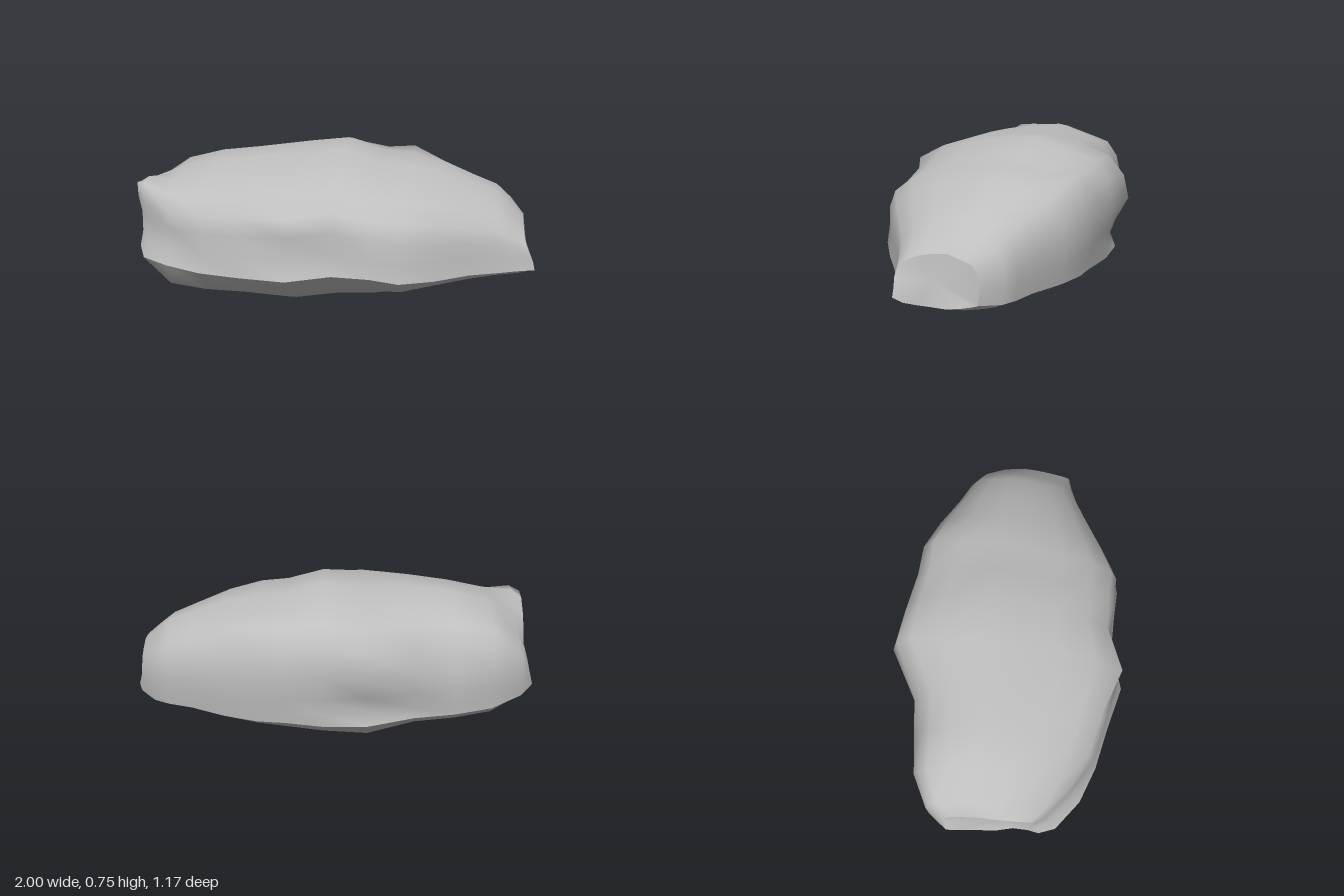
import * as THREE from 'three';

// Stations along the boulder: x, back z, front z, rim y, bottom y, top y
const stations = [
  [-0.98, -0.22, 0.26, 0.25, 0.22, 0.56],
  [-0.93, -0.31, 0.34, 0.23, 0.19, 0.6],
  [-0.78, -0.39, 0.44, 0.24, 0.065, 0.645],
  [-0.6, -0.43, 0.49, 0.23, 0.04, 0.685],
  [-0.4, -0.46, 0.53, 0.23, 0.025, 0.71],
  [-0.17, -0.59, 0.59, 0.24, 0.005, 0.73],
  [0.04, -0.56, 0.52, 0.24, 0.015, 0.755],
  [0.22, -0.53, 0.51, 0.24, 0.035, 0.7],
  [0.36, -0.52, 0.51, 0.23, 0.07, 0.685],
  [0.52, -0.47, 0.42, 0.22, 0.11, 0.655],
  [0.68, -0.39, 0.32, 0.22, 0.13, 0.595],
  [0.8, -0.34, 0.25, 0.21, 0.145, 0.55],
  [0.87, -0.3, 0.22, 0.21, 0.15, 0.49],
  [0.935, -0.21, 0.2, 0.21, 0.18, 0.42],
];

// Cross-section: across (-1 back, 1 front), height (0 rim, 1 top, -1 bottom)
const upper = [[1, 0], [0.97, 0.2], [0.96, 0.42], [0.9, 0.6], [0.7, 0.77], [0.42, 0.89],
  [0.05, 0.97], [-0.25, 1], [-0.58, 0.9], [-0.82, 0.81], [-0.95, 0.62], [-1, 0.38],
  [-0.98, 0.14], [-0.96, -0.05], [-0.95, -0.33]];
const lower = [[-0.95, -0.33], [-0.84, -0.55], [-0.62, -0.8], [-0.3, -1], [0.1, -0.98],
  [0.42, -0.93], [0.74, -0.6], [1, 0]];

// Chips and bulges: centre, reach, shift
const chips = [
  [[-0.1, 0.39, 0.54], 0.12, [0, 0, -0.07]], // front hollow
  [[-0.22, 0.52, 0.52], 0.12, [0, 0.01, 0.05]], // front ledge
  [[-0.98, 0.48, 0.22], 0.13, [0, 0.1, 0.02]], // raised corner
  [[-0.98, 0.5, -0.12], 0.15, [0.02, -0.12, 0]], // sloped corner
  [[-0.98, 0.23, -0.2], 0.08, [-0.02, 0, 0]], // low corner
  [[-0.95, 0.36, 0.27], 0.1, [0.03, 0, -0.04]], // hollow under the raised corner
  [[-0.95, 0.22, 0.15], 0.1, [0.03, 0.04, 0]], // notch in the end rim
  [[-0.85, 0.38, 0.4], 0.13, [0, 0, -0.08]], // notch above the front lip
  [[-0.72, 0.1, 0.32], 0.15, [0, -0.02, 0.05]], // full lower front
  [[0.06, 0.08, 0.4], 0.2, [0, 0.035, -0.02]], // shaved lower front
  [[0.35, 0.61, -0.47], 0.14, [0, 0.05, -0.02]], // back shoulder
  [[-0.5, 0.55, -0.42], 0.18, [0, -0.01, 0.04]], // back slope
  [[-0.15, 0.25, -0.57], 0.1, [0, 0, 0.08]], // hollow above the back lip
  [[0.935, 0.2, 0.18], 0.12, [0.065, 0, -0.02]], // pointed tip
  [[0.935, 0.2, -0.05], 0.12, [0.045, 0, 0]], // tip lip
];

function chip(x, y, z) {
  const p = new THREE.Vector3(x, y, z), start = p.clone();
  for (const [c, reach, shift] of chips) {
    const d = start.distanceTo(new THREE.Vector3(...c)) / reach;
    p.addScaledVector(new THREE.Vector3(...shift), Math.exp(-d * d));
  }
  return p;
}

function ring(station, profile) {
  const [x, back, front, rim, bottom, top] = station;
  return profile.map(([u, v]) => chip(
    x,
    rim + (v > 0 ? v * (top - rim) : v * (rim - bottom)),
    (front + back) / 2 + u * (front - back) / 2,
  ));
}

function build(name, points, index, material) {
  const geometry = new THREE.BufferGeometry().setFromPoints(points);
  geometry.setIndex(index);
  geometry.computeVertexNormals();
  const mesh = new THREE.Mesh(geometry, material);
  mesh.name = name;
  return mesh;
}

// Skin joining the same strip of the profile at every station
function skin(name, profile, material) {
  const n = profile.length, index = [];
  for (let i = 0; i < stations.length - 1; i++) {
    for (let j = 0; j < n - 1; j++) {
      const a = i * n + j, b = a + n;
      index.push(a, b, a + 1, b, b + 1, a + 1);
    }
  }
  return build(name, stations.flatMap((s) => ring(s, profile)), index, material);
}

// End face fanned around one centre point
function end(name, station, centre, flip, material) {
  const edge = ring(station, [...upper, ...lower.slice(1, -1)]);
  const index = [];
  edge.forEach((_, j) => {
    const a = j + 1, b = (j + 1) % edge.length + 1;
    index.push(0, flip ? b : a, flip ? a : b);
  });
  return build(name, [new THREE.Vector3(...centre), ...edge], index, material);
}

export function createModel() {
  const group = new THREE.Group();
  group.name = 'boulder';
  const stone = new THREE.MeshStandardMaterial({ color: 0xbfbfbf });
  stone.name = 'grey stone';
  group.add(
    skin('upperRock', upper, stone),
    skin('underside', lower, stone),
    end('hollowEnd', stations[0], [-0.93, 0.36, 0.06], false, stone),
    end('pointedEnd', stations[stations.length - 1], [0.955, 0.29, -0.01], true, stone),
  );
  return group;
}
